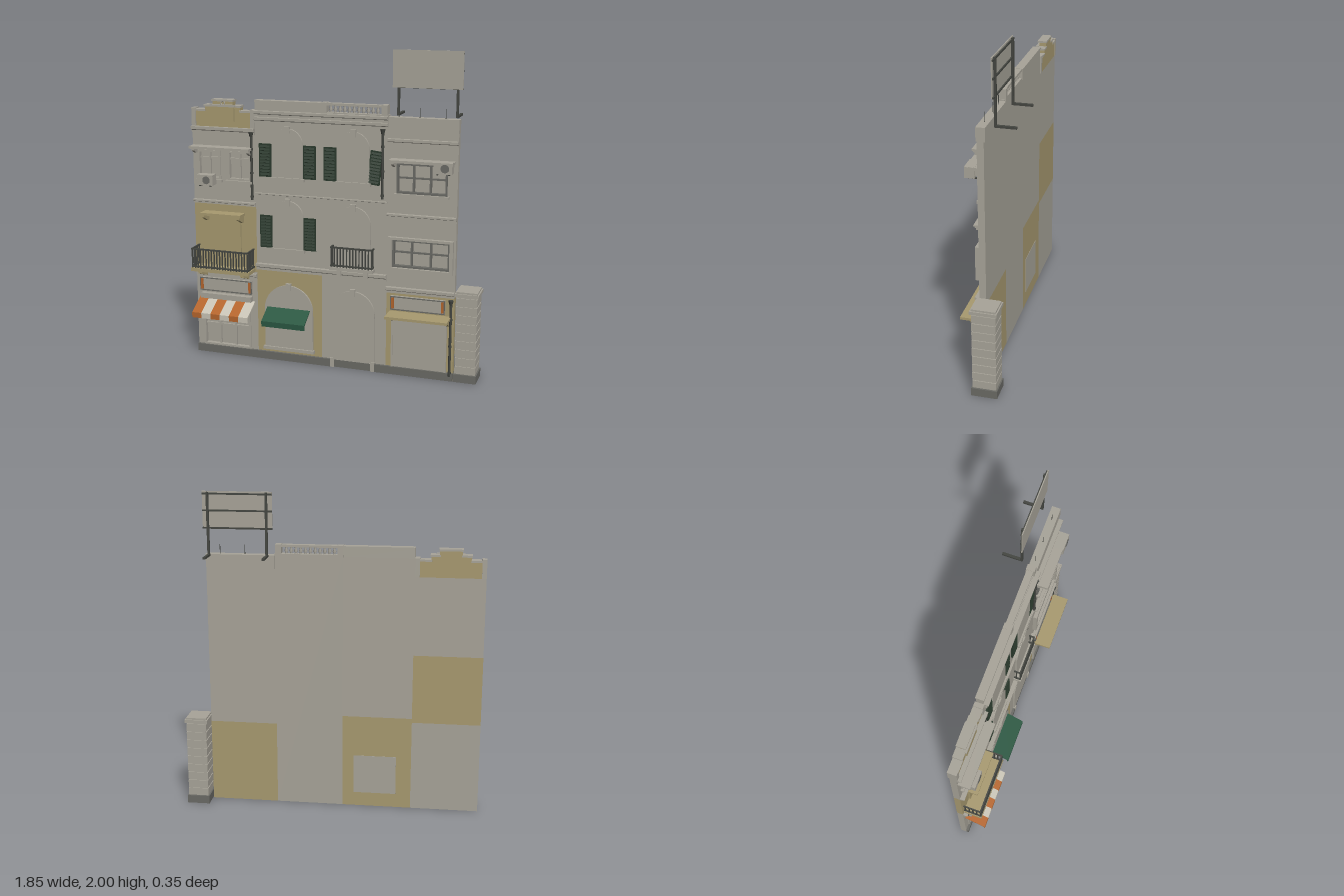
import * as THREE from 'three';

const mat = (name, color) => new THREE.MeshStandardMaterial({ name, color });

export function createModel() {
  const root = new THREE.Group();
  root.name = 'streetFacade';
  const plaster = mat('plaster', 0xa8a499), ochre = mat('ochre', 0xa89a70), stone = mat('darkStone', 0x6a6a65),
    shutterGreen = mat('shutterGreen', 0x2b3a2d), awningGreen = mat('awningGreen', 0x2a5741),
    orange = mat('orange', 0xb4652c), blue = mat('blue', 0x34475f), brown = mat('brown', 0x432c18),
    iron = mat('iron', 0x444641), cream = mat('cream', 0xc8c3b5);
  const F = 0.04; // front plane of the walls

  const add = (name, geo, m, parent = root) => {
    const mesh = new THREE.Mesh(geo, m);
    mesh.name = name;
    parent.add(mesh);
    return mesh;
  };
  const box = (name, m, x0, x1, y0, y1, z0, z1, parent) => {
    const b = add(name, new THREE.BoxGeometry(x1 - x0, y1 - y0, z1 - z0), m, parent);
    b.position.set((x0 + x1) / 2, (y0 + y1) / 2, (z0 + z1) / 2);
    return b;
  };
  const poly = (pts) => new THREE.Shape(pts.map(([x, y]) => new THREE.Vector2(x, y)));
  const rect = (x0, x1, y0, y1) => poly([[x0, y0], [x1, y0], [x1, y1], [x0, y1]]);
  const slab = (name, m, shape, z0, z1) => {
    const g = new THREE.ExtrudeGeometry(shape, { depth: z1 - z0, bevelEnabled: false, curveSegments: 20 });
    return add(name, g.translate(0, 0, z0), m);
  };
  // profile of [z, y] points swept along x
  const sweep = (name, m, pts, x0, x1) => {
    const g = new THREE.ExtrudeGeometry(poly(pts), { depth: x1 - x0, bevelEnabled: false });
    return add(name, g.rotateY(-Math.PI / 2).translate(x1, 0, 0), m);
  };
  const cornice = (x0, x1, y0, y1, out = 0.028) => {
    const h = y1 - y0;
    sweep('cornice', plaster, [[0.03, y0], [F + out * 0.4, y0], [F + out * 0.4, y0 + h * 0.35], [F + out * 0.7, y0 + h * 0.5],
      [F + out * 0.7, y0 + h * 0.7], [F + out, y0 + h * 0.7], [F + out, y1], [0.03, y1]], x0, x1);
  };
  const arch = (cx, y0, ys, r) => {
    const s = new THREE.Shape();
    s.moveTo(cx - r, y0);
    s.lineTo(cx + r, y0);
    s.lineTo(cx + r, ys);
    s.absarc(cx, ys, r, 0, Math.PI, false);
    s.closePath();
    return s;
  };
  const ring = (name, m, outer, inner, z0, z1) => {
    outer.holes.push(inner);
    return slab(name, m, outer, z0, z1);
  };

  // Arched openings: centre, bottom, springing, radius, leaf material
  const arches = [
    [-0.29, 0.09, 0.345, 0.14, null], [0.135, 0.05, 0.37, 0.12, shutterGreen],
    [-0.29, 0.75, 0.955, 0.08, null], [0.135, 0.67, 0.94, 0.09, blue],
    [-0.29, 1.205, 1.41, 0.08, null], [0.135, 1.205, 1.41, 0.08, null]];
  // Square openings: x0, x1, y0, y1, columns, transom height, frame material
  const squares = [
    [-0.885, -0.555, 0.05, 0.375, 3, 0.195, plaster], [-0.895, -0.74, 1.165, 1.35, 2, 1.3, plaster],
    [-0.69, -0.535, 1.165, 1.35, 2, 1.3, plaster], [0.385, 0.74, 0.695, 0.87, 3, 0.79, stone],
    [0.405, 0.715, 1.155, 1.34, 3, 1.25, stone]];

  // Walls: a back plate and a front layer with the openings cut out
  const cells = [
    [-0.93, -0.505, 0, 0.575, plaster], [-0.93, -0.505, 0.575, 1.01, ochre], [-0.93, -0.505, 1.01, 1.5, plaster],
    [-0.505, -0.07, 0, 0.6, ochre], [-0.505, -0.07, 0.6, 1.61, plaster], [-0.07, 0.35, 0, 1.61, plaster],
    [0.35, 0.775, 0, 0.53, ochre], [0.35, 0.775, 0.53, 1.61, plaster]];
  for (const [x0, x1, y0, y1, m] of cells) {
    const inside = (x, y) => x > x0 && x < x1 && y > y0 && y < y1;
    const front = rect(x0, x1, y0, y1);
    for (const [cx, b, s, r] of arches) if (inside(cx, s)) front.holes.push(arch(cx, b, s, r));
    for (const [a, b, c, d] of squares) if (inside((a + b) / 2, (c + d) / 2)) front.holes.push(rect(a, b, c, d));
    box('wallBack', m, x0, x1, y0, y1, 0, 0.016);
    slab('wallFront', m, front, 0.016, F);
  }
  box('backPatch', plaster, -0.41, -0.142, 0.09, 0.34, -0.002, 0);

  // Arched windows and doors
  for (const [cx, b, s, r, leaf] of arches) {
    slab('archPane', plaster, arch(cx, b, s, r), 0.016, 0.021);
    ring('archSurround', plaster, arch(cx, b, s, r + 0.022), arch(cx, b - 0.001, s, r), F, 0.052);
    ring('archSash', plaster, arch(cx, b, s, r), arch(cx, b + 0.012, s, r - 0.012), 0.021, 0.032);
    box('transom', plaster, cx - r, cx + r, s - 0.008, s + 0.008, 0.021, 0.036);
    box('keystone', plaster, cx - 0.017, cx + 0.017, s + r - 0.008, s + r + 0.036, F, 0.06);
    for (const a of [-0.75, 0, 0.75]) {
      const bar = add('fanBar', new THREE.BoxGeometry(0.008, r * 0.95, 0.01), plaster);
      bar.position.set(cx - Math.sin(a) * r * 0.5, s + Math.cos(a) * r * 0.5, 0.026);
      bar.rotation.z = a;
    }
    if (leaf) {
      for (const k of [-1, 1]) {
        const c = cx + k * r / 2;
        box('doorLeaf', leaf, c - r / 2 + 0.001, c + r / 2 - 0.001, b, s - 0.008, 0.021, 0.029);
        for (const [p, q] of [[0.06, 0.4], [0.46, 0.93]])
          box('doorPanel', leaf, c - r * 0.34, c + r * 0.34, b + (s - b) * p, b + (s - b) * q, 0.029, 0.033);
      }
    } else {
      box('mullion', plaster, cx - 0.007, cx + 0.007, b, s, 0.021, 0.034);
      for (const k of [-1, 1]) box('glazingBar', plaster, cx + k * r * 0.5 - 0.003, cx + k * r * 0.5 + 0.003, b, s, 0.021, 0.028);
      box('sill', plaster, cx - r - 0.032, cx + r + 0.032, b - 0.02, b, 0.03, 0.063);
    }
  }

  // Square windows
  for (const [x0, x1, y0, y1, n, t, m] of squares) {
    ring('windowFrame', m, rect(x0, x1, y0, y1), rect(x0 + 0.012, x1 - 0.012, y0 + 0.012, y1 - 0.012), 0.016, 0.047);
    box('windowPane', plaster, x0, x1, y0, y1, 0.016, 0.02);
    box('transom', m, x0, x1, t - 0.005, t + 0.005, 0.02, 0.034);
    for (let i = 1; i < n; i++) {
      const x = x0 + (x1 - x0) * i / n;
      box('mullion', m, x - 0.006, x + 0.006, y0, y1, 0.02, 0.036);
    }
    if (y0 > 1) box('sill', plaster, x0 - 0.012, x1 + 0.012, y0 - 0.016, y0, 0.03, 0.062);
  }
  ring('deepSurround', plaster, rect(0.36, 0.762, 0.675, 0.885), rect(0.385, 0.74, 0.695, 0.87), F, 0.065);

  // Louvred shutters, one hanging loose
  const shutter = (x, y, tilt = 0) => {
    const g = new THREE.Group();
    g.name = 'shutter';
    box('shutterBoard', shutterGreen, -0.04, 0.04, -0.104, 0.104, 0, 0.009, g);
    for (let i = 0; i < 10; i++) {
      const slat = box('slat', shutterGreen, -0.032, 0.032, -0.094 + i * 0.0195, -0.081 + i * 0.0195, 0.006, 0.012, g);
      slat.rotation.x = -0.35;
    }
    g.position.set(x, y, F);
    g.rotation.z = tilt;
    root.add(g);
  };
  for (const y of [0.852, 1.307]) for (const x of [-0.437, -0.146]) shutter(x, y);
  shutter(-0.015, 1.307);
  shutter(0.272, 1.3, -0.12);

  // Plinth, seam and belt courses
  box('plinth', stone, -0.93, -0.01, 0, 0.05, F, 0.056);
  box('plinth', stone, 0.28, 0.775, 0, 0.05, F, 0.056);
  box('doorStep', stone, 0.015, 0.255, 0, 0.05, F, 0.05);
  for (const x of [-0.01, 0.255]) box('doorFoot', plaster, x, x + 0.025, 0, 0.06, F, 0.058);
  for (const c of [[-0.93, -0.505, 0.53, 0.565], [-0.93, -0.505, 1.005, 1.03], [-0.93, -0.505, 1.46, 1.5],
    [-0.505, 0.35, 0.597, 0.64], [-0.505, 0.35, 1.082, 1.097, 0.015], [-0.505, 0.35, 1.54, 1.575, 0.022], [-0.505, 0.35, 1.58, 1.615, 0.032],
    [0.35, 0.775, 0.53, 0.568], [0.35, 0.775, 1.003, 1.03], [0.35, 0.775, 1.452, 1.485]]) cornice(...c);

  // Stepped parapet on the left house
  slab('steppedParapet', ochre, poly([[-0.925, 1.5], [-0.51, 1.5], [-0.51, 1.6], [-0.6, 1.6], [-0.6, 1.63], [-0.65, 1.63],
    [-0.65, 1.665], [-0.785, 1.665], [-0.785, 1.63], [-0.84, 1.63], [-0.84, 1.6], [-0.925, 1.6]]), -0.005, F);
  for (const [x0, x1, y] of [[-0.905, -0.835, 1.6], [-0.605, -0.53, 1.6], [-0.845, -0.78, 1.63], [-0.655, -0.595, 1.63], [-0.79, -0.645, 1.665]])
    box('parapetCap', plaster, x0, x1, y - 0.004, y + 0.008, -0.009, 0.05);
  for (const x of [-0.93, -0.533]) box('parapetPost', plaster, x, x + 0.028, 1.5, 1.615, -0.008, 0.048);
  box('parapetPlaque', ochre, -0.79, -0.64, 1.535, 1.635, F, 0.052);
  box('plaqueCap', plaster, -0.8, -0.63, 1.628, 1.642, F, 0.058);
  const boss = add('parapetBoss', new THREE.TorusGeometry(0.012, 0.004, 8, 16), plaster);
  boss.position.set(-0.717, 1.65, F);

  // Middle parapet and balustrade
  box('solidParapet', plaster, -0.505, -0.072, 1.61, 1.67, 0, F);
  box('parapetCoping', plaster, -0.505, -0.072, 1.667, 1.678, -0.006, 0.046);
  box('balustradeFoot', plaster, -0.072, 0.35, 1.61, 1.622, 0, F);
  box('balustradeRail', plaster, -0.072, 0.32, 1.664, 1.678, 0, F);
  for (const x of [-0.072, 0.308]) box('balustradePier', plaster, x, x + 0.036, 1.61, 1.68, -0.006, 0.046);
  const profile = [[0.009, 0], [0.006, 0.008], [0.012, 0.018], [0.006, 0.032], [0.009, 0.044]].map(([r, y]) => new THREE.Vector2(r, y));
  for (let i = 0; i < 11; i++)
    add('baluster', new THREE.LatheGeometry(profile, 10), plaster).position.set(-0.016 + i * 0.0295, 1.621, 0.02);
  box('rightCoping', plaster, 0.35, 0.775, 1.53, 1.612, -0.008, 0.046);

  // Iron railings with slabs
  const railing = (x0, x1, y0, y1, zf, n) => {
    const rod = 0.0035;
    for (const y of [y0 + 0.01, y1 - 0.005]) {
      box('railBar', iron, x0, x1, y - 0.005, y + 0.005, zf - 0.009, zf);
      for (const x of [x0, x1 - 0.009]) box('railSide', iron, x, x + 0.009, y - 0.005, y + 0.005, F, zf);
    }
    for (let i = 0; i <= n; i++) {
      const x = x0 + 0.005 + (x1 - x0 - 0.01) * i / n;
      box('railRod', iron, x - rod, x + rod, y0, y1, zf - 0.008, zf - 0.001);
    }
    for (let z = zf - 0.03; z > F; z -= 0.025) for (const x of [x0 + 0.005, x1 - 0.005])
      box('railRod', iron, x - rod, x + rod, y0, y1, z - rod, z + rod);
  };
  box('balconySlab', ochre, -0.915, -0.518, 0.578, 0.6, F, 0.158);
  for (const x of [-0.86, -0.57]) sweep('balconyBracket', ochre, [[F, 0.53], [0.06, 0.53], [0.14, 0.56], [0.14, 0.578], [F, 0.578]], x - 0.013, x + 0.013);
  railing(-0.91, -0.522, 0.6, 0.73, 0.155, 20);
  box('smallBalconySlab', plaster, -0.005, 0.275, 0.65, 0.67, F, 0.09);
  for (const x of [0.04, 0.21]) box('smallBracket', plaster, x, x + 0.025, 0.61, 0.65, F, 0.08);
  railing(0, 0.27, 0.67, 0.8, 0.086, 13);

  // Balcony door with hood
  ring('balconyDoorFrame', ochre, rect(-0.825, -0.61, 0.6, 0.935), rect(-0.805, -0.63, 0.599, 0.92), F, 0.052);
  for (const x of [-0.805, -0.717]) {
    box('balconyDoorLeaf', brown, x, x + 0.087, 0.6, 0.92, F, 0.046);
    for (const y of [0.62, 0.76]) box('balconyDoorPanel', brown, x + 0.016, x + 0.071, y, y + 0.125, 0.046, 0.05);
  }
  const hood = (m, x0, x1, y, depth, drop, inner) => {
    box('hoodSlab', m, x0, x1, y - 0.016, y, F, depth);
    for (const x of [x0 + 0.008, x1 - 0.026])
      sweep('hoodBracket', m, [[F, y - drop], [F + 0.015, y - drop], [inner, y - 0.03], [inner, y - 0.016], [F, y - 0.016]], x, x + 0.018);
  };
  hood(ochre, -0.857, -0.583, 0.957, 0.12, 0.062, 0.115);
  hood(plaster, -0.925, -0.522, 1.38, 0.115, 0.05, 0.09);
  hood(plaster, 0.372, 0.757, 1.367, 0.115, 0.05, 0.09);
  hood(ochre, 0.372, 0.757, 0.412, 0.165, 0.058, 0.105);
  box('shopLintel', ochre, 0.358, 0.762, 0.358, 0.38, F, 0.056);

  // Awnings
  const awning = (name, m, x0, x1, y, zf) => sweep(name, m, [[F, y], [F, y - 0.008], [zf - 0.006, y - 0.078], [zf - 0.006, y - 0.105],
    [zf, y - 0.105], [zf, y - 0.07]], x0, x1);
  for (let i = 0; i < 6; i++)
    awning('stripedAwning', i % 2 ? cream : orange, -0.91 + i * 0.0642, -0.91 + (i + 1) * 0.0642, 0.376, 0.172);
  box('awningCase', plaster, -0.89, -0.54, 0.376, 0.41, F, 0.075);
  awning('greenAwning', awningGreen, -0.435, -0.147, 0.363, 0.16);

  // Shop signs and roller shutter
  for (const [x0, x1] of [[-0.9, -0.54], [0.38, 0.72]]) {
    box('signBoard', plaster, x0, x1, 0.425, 0.512, F, 0.055);
    ring('signFrame', stone, rect(x0, x1, 0.425, 0.512), rect(x0 + 0.006, x1 - 0.006, 0.431, 0.506), 0.055, 0.062);
    for (const x of [x0 + 0.006, x1 - 0.022]) box('signEnd', orange, x, x + 0.016, 0.434, 0.503, 0.055, 0.061);
  }
  box('rollerShutter', plaster, 0.395, 0.728, 0.05, 0.358, F, 0.045);
  for (const x of [0.385, 0.722]) box('shutterGuide', plaster, x, x + 0.012, 0.05, 0.358, F, 0.052);

  // Drain pipes
  for (const [x, y0, y1] of [[-0.525, 1.05, 1.48], [0.32, 1.115, 1.54], [0.757, 0.03, 0.52]]) {
    add('drainPipe', new THREE.CylinderGeometry(0.008, 0.008, y1 - y0, 10), iron).position.set(x, (y0 + y1) / 2, 0.054);
    add('pipeHopper', new THREE.CylinderGeometry(0.016, 0.009, 0.03, 10), iron).position.set(x, y1 - 0.015, 0.056);
    for (const t of [0.05, 0.4, 0.75])
      add('pipeCollar', new THREE.CylinderGeometry(0.011, 0.011, 0.012, 10), iron).position.set(x, y0 + (y1 - y0) * t, 0.054);
  }

  // Air conditioners
  for (const [x, y] of [[-0.82, 1.17], [0.7, 1.335]]) {
    box('airConditioner', plaster, x - 0.055, x + 0.055, y - 0.033, y + 0.033, 0.062, 0.12);
    const fan = add('airConditionerFan', new THREE.CylinderGeometry(0.025, 0.025, 0.004, 20), stone);
    fan.rotation.x = Math.PI / 2;
    fan.position.set(x + 0.012, y, 0.121);
    for (const k of [-0.035, 0.035]) box('unitBracket', iron, x + k - 0.004, x + k + 0.004, y - 0.041, y - 0.033, F, 0.115);
  }

  // Gate pillar
  box('pillarBase', stone, 0.78, 0.922, 0, 0.05, -0.1, 0.056);
  box('pillarCore', plaster, 0.793, 0.909, 0.05, 0.55, -0.087, 0.043);
  for (let i = 0; i < 9; i++) box('pillarBlock', plaster, 0.787, 0.915, 0.053 + i * 0.0545, 0.1 + i * 0.0545, -0.093, 0.049);
  box('pillarCap', plaster, 0.778, 0.924, 0.545, 0.565, -0.102, 0.058);
  box('pillarCapTop', plaster, 0.786, 0.916, 0.565, 0.576, -0.094, 0.05);

  // Billboard and roof aerials
  box('billboardPanel', plaster, 0.35, 0.775, 1.777, 2, -0.05, -0.044);
  for (const y of [1.78, 1.885, 1.985]) box('billboardRail', iron, 0.35, 0.775, y - 0.005, y + 0.005, -0.058, -0.05);
  for (const x of [0.385, 0.742]) {
    box('billboardPost', iron, x - 0.007, x + 0.007, 1.61, 1.995, -0.064, -0.05);
    box('billboardFoot', iron, x - 0.008, x + 0.008, 1.609, 1.622, -0.175, -0.05);
  }
  for (const x of [0.408, 0.535, 0.69]) box('aerial', iron, x - 0.0015, x + 0.0015, 1.61, 1.67, 0.018, 0.021);
  return root;
}
